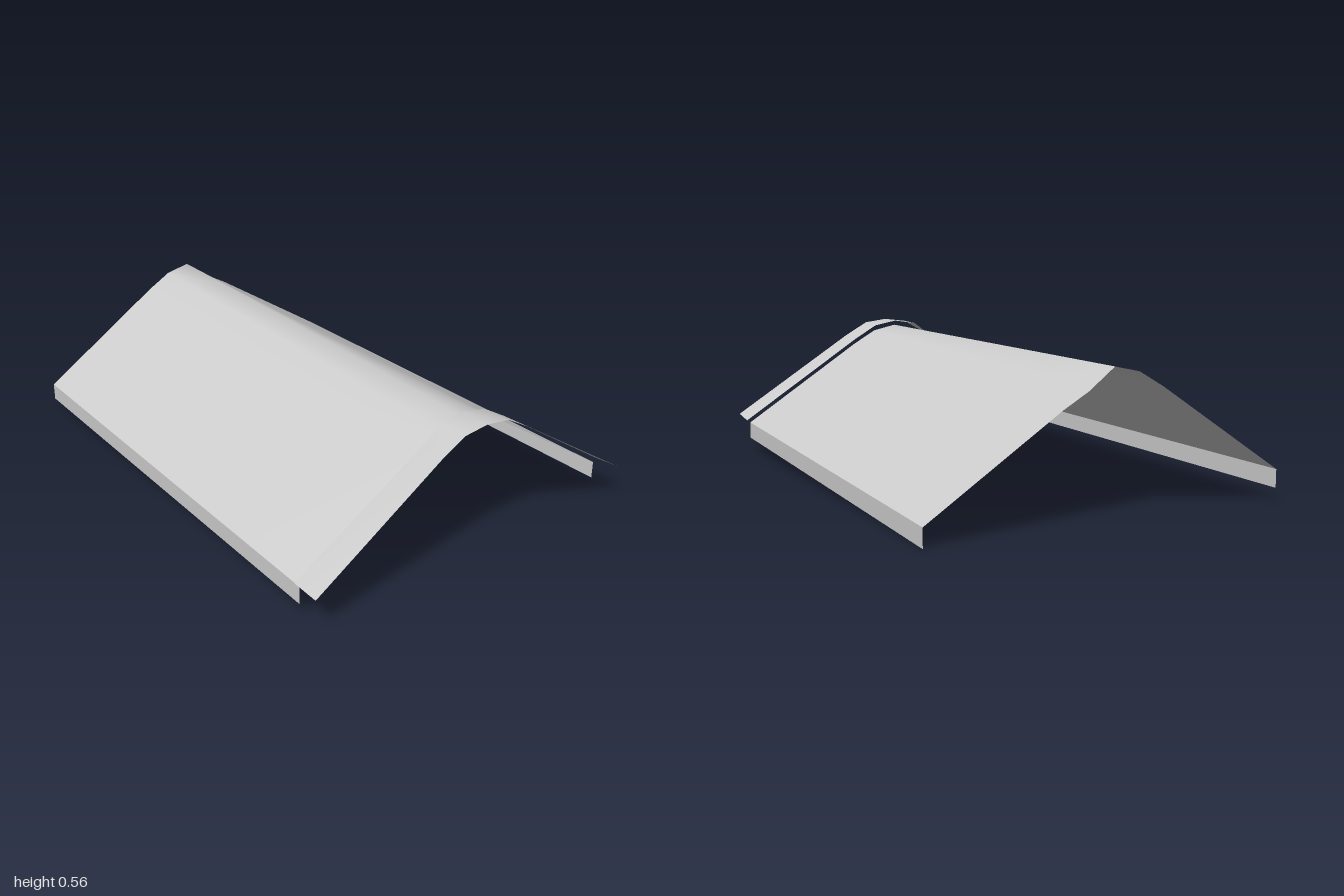
import * as THREE from 'three';

const metal = new THREE.MeshStandardMaterial({ color: 0xcccccc, side: THREE.DoubleSide });
metal.name = 'galvanised sheet';

// Thin sheet lofted between two [z, y] profiles lying at x0 and x1.
function sheet(name, x0, start, x1, end, steps = 6) {
  const n = start.length, positions = [], index = [];
  for (let i = 0; i <= steps; i++) {
    const t = i / steps;
    for (let j = 0; j < n; j++) {
      positions.push(
        THREE.MathUtils.lerp(x0, x1, t),
        THREE.MathUtils.lerp(start[j][1], end[j][1], t),
        THREE.MathUtils.lerp(start[j][0], end[j][0], t));
    }
  }
  for (let i = 0; i < steps; i++) {
    for (let j = 0; j < n - 1; j++) {
      const a = i * n + j, b = a + n;
      index.push(a, b, b + 1, a, b + 1, a + 1);
    }
  }
  const geometry = new THREE.BufferGeometry();
  geometry.setAttribute('position', new THREE.Float32BufferAttribute(positions, 3));
  geometry.setIndex(index);
  geometry.computeVertexNormals();
  const mesh = new THREE.Mesh(geometry, metal);
  mesh.name = name;
  return mesh;
}

export function createModel() {
  const group = new THREE.Group();
  group.name = 'ridgeCap';

  // Main cap: the rear slope drops slightly toward the -x end.
  const left = -1, right = 0.89, drop = 0.055, lip = 0.07;
  const half = [[0.708, 0.125], [0.2, 0.46], [0.1, 0.518]];
  const ridge = [0, 0.54];
  const rear = half.map(([z, y]) => [-z, y]).reverse();
  const rearLow = rear.map(([z, y]) => [z, y - drop]);
  group.add(sheet('capSheet', left, [...half, ridge, ...rearLow], right, [...half, ridge, ...rear]));

  // Vertical drip lips folded down from both eaves.
  const [ez, ey] = half[0];
  const frontLip = [[ez, ey - lip], [ez, ey]];
  const rearLip = (y) => [[-ez, y], [-ez, y - lip]];
  group.add(sheet('frontDripLip', left, frontLip, right, frontLip, 1));
  group.add(sheet('rearDripLip', left, rearLip(ey - drop), right, rearLip(ey), 1));

  // Raised overlap collar at the +x end.
  const inner = [[0.722, 0.14], [0.2, 0.472], [0.1, 0.545], [0, 0.56],
    [-0.1, 0.541], [-0.2, 0.482], [-0.725, 0.137]];
  const outer = [[0.722, 0.14], [0.2, 0.49], [0.1, 0.547], [0, 0.56],
    [-0.1, 0.547], [-0.2, 0.49], [-0.725, 0.15]];
  group.add(sheet('overlapCollar', 0.88, inner, 1, outer, 1));

  return group;
}
